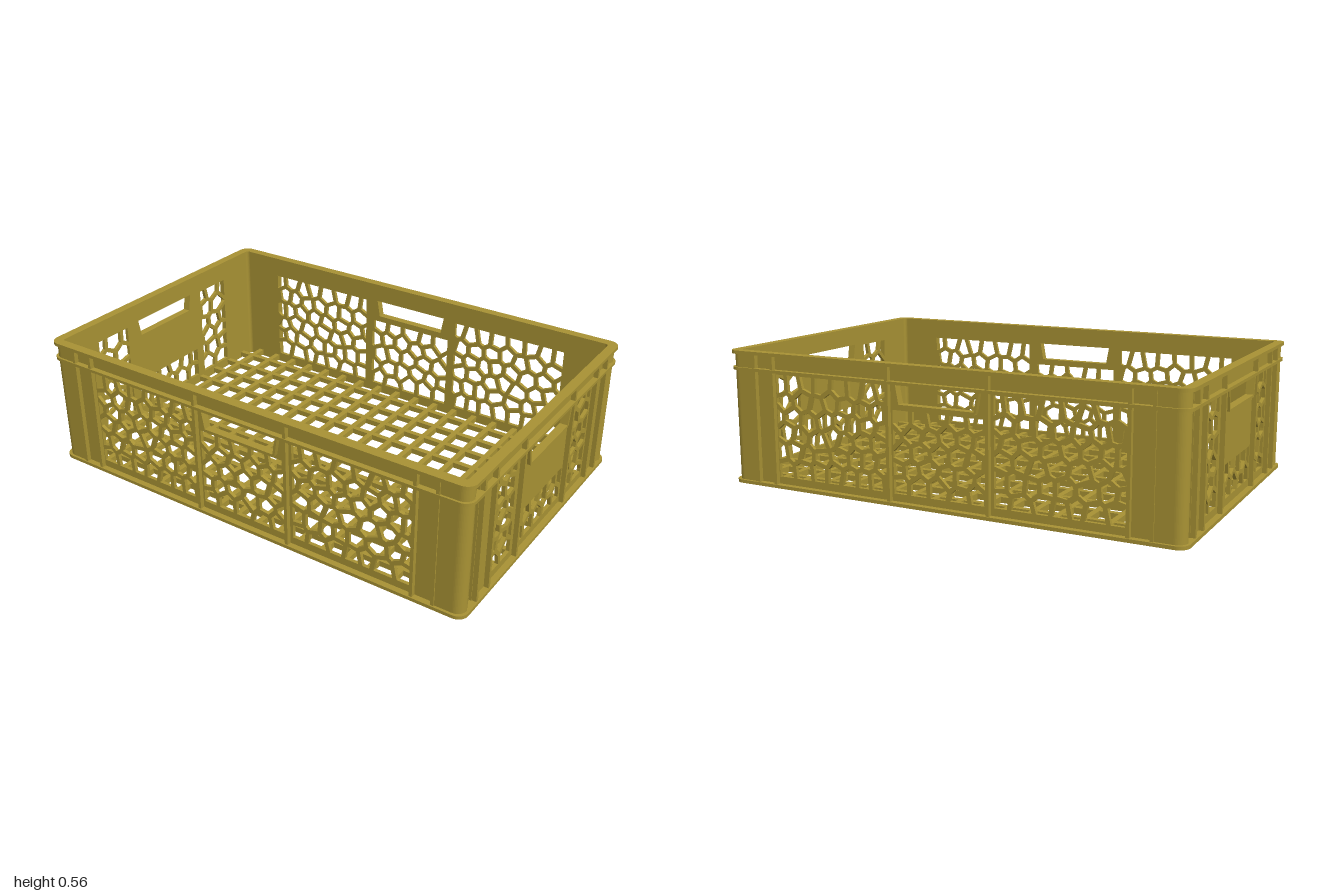
import * as THREE from 'three';

const HX = 1, HZ = 0.665, H = 0.565;   // outer half sizes and height
const RIM = 0.04, WALL = 0.015;        // rim width and wall thickness

function seeded(seed) {
  return () => (seed = (seed * 16807) % 2147483647) / 2147483647;
}

// Keep the part of a polygon where (p - m) . n >= 0
function clip(poly, m, n) {
  const out = [];
  poly.forEach((a, i) => {
    const b = poly[(i + 1) % poly.length];
    const da = a.clone().sub(m).dot(n), db = b.clone().sub(m).dot(n);
    if (da >= 0) out.push(a);
    if ((da >= 0) !== (db >= 0)) out.push(a.clone().lerp(b, da / (da - db)));
  });
  return out;
}

// Irregular honeycomb openings that fill a rectangle
function honeycomb(x0, x1, y0, y1, seed) {
  const rnd = seeded(seed), sites = [], cells = [];
  const cols = Math.round((x1 - x0) / 0.08), rows = Math.round((y1 - y0) / 0.072);
  const dx = (x1 - x0) / cols, dy = (y1 - y0) / rows;
  for (let r = 0; r < rows; r++) {
    for (let c = 0; c <= cols; c++) {
      const x = x0 + (c + (r % 2 ? 0 : 0.5)) * dx + (rnd() - 0.5) * 0.034;
      const y = y0 + (r + 0.5) * dy + (rnd() - 0.5) * 0.03;
      sites.push(new THREE.Vector2(x, y));
    }
  }
  for (const p of sites) {
    let poly = [[x0, y0], [x1, y0], [x1, y1], [x0, y1]].map(q => new THREE.Vector2(...q));
    for (const q of sites) {
      if (q === p || q.distanceTo(p) > 0.25) continue;
      const n = p.clone().sub(q).normalize();
      poly = clip(poly, p.clone().add(q).multiplyScalar(0.5).addScaledVector(n, 0.009), n);
    }
    if (poly.length > 2 && Math.abs(THREE.ShapeUtils.area(poly)) > 0.0004) cells.push(poly);
  }
  return cells;
}

function roundedRect(target, hx, hz, r) {
  target.absarc(hx - r, hz - r, r, 0, Math.PI / 2);
  target.absarc(r - hx, hz - r, r, Math.PI / 2, Math.PI);
  target.absarc(r - hx, r - hz, r, Math.PI, Math.PI * 1.5);
  target.absarc(hx - r, r - hz, r, Math.PI * 1.5, Math.PI * 2);
  target.closePath();
  return target;
}

export function createModel() {
  const crate = new THREE.Group();
  crate.name = 'crate';
  const plastic = new THREE.MeshStandardMaterial({ color: 0xa89234 });
  plastic.name = 'olive plastic';

  const add = (parent, name, geometry) => {
    const mesh = new THREE.Mesh(geometry, plastic);
    mesh.name = name;
    parent.add(mesh);
    return mesh;
  };
  const box = (parent, name, w, h, d, x, y, z) =>
    add(parent, name, new THREE.BoxGeometry(w, h, d)).position.set(x, y, z);
  const extrude = (shape, depth) =>
    new THREE.ExtrudeGeometry(shape, { depth, bevelEnabled: false, curveSegments: 6 });

  // Horizontal flanges that run around the whole crate
  const ring = (name, y, h, inset) => {
    const shape = roundedRect(new THREE.Shape(), HX - inset, HZ - inset, 0.045);
    shape.holes.push(roundedRect(new THREE.Path(), HX - RIM, HZ - RIM, 0.015));
    const mesh = add(crate, name, extrude(shape, h).rotateX(-Math.PI / 2));
    mesh.position.y = y;
  };
  ring('topRim', H - 0.014, 0.014, 0);
  ring('middleFlange', 0.483, 0.012, 0.002);
  ring('bottomRim', 0, 0.014, 0);

  // Solid corner posts
  for (const sx of [-1, 1]) for (const sz of [-1, 1]) {
    const ox = HX - 0.011, oz = HZ - 0.011, ix = HX - RIM, iz = HZ - RIM, r = 0.04;
    const s = new THREE.Shape();
    s.moveTo(ox, 0.545);
    s.absarc(ox - r, oz - r, r, 0, Math.PI / 2);
    s.lineTo(0.87, oz);
    s.lineTo(0.87, iz);
    s.absarc(ix - 0.015, iz - 0.015, 0.015, Math.PI / 2, 0, true);
    s.lineTo(ix, 0.545);
    s.closePath();
    // Mirror in plan by reflecting the outline
    const pts = s.getPoints(6).map(p => new THREE.Vector2(p.x * sx, p.y * sz));
    const post = add(crate, 'cornerPost', extrude(new THREE.Shape(pts), H - 0.016).rotateX(-Math.PI / 2));
    post.position.y = 0.006;
  }

  // One wall with its openings, ribs and handle, facing +z
  function wall(name, half, dist, ribs, panels, angle) {
    const g = new THREE.Group();
    g.name = name;
    const s = new THREE.Shape();
    s.moveTo(-half, 0.006).lineTo(half, 0.006).lineTo(half, H - 0.008).lineTo(-half, H - 0.008).closePath();
    const hole = pts => s.holes.push(new THREE.Path(pts));
    hole([[-0.165, 0.405], [0.165, 0.405], [0.18, 0.488], [-0.18, 0.488]].map(p => new THREE.Vector2(...p)));
    panels.forEach((p, i) => honeycomb(...p, 41 + i * 977).forEach(hole));
    const inner = dist - RIM;
    add(g, 'wallPanel', extrude(s, WALL)).position.z = inner;

    // Vertical ribs
    for (const x of ribs) for (const side of [-1, 1]) {
      box(g, 'rib', 0.014, H - 0.012, RIM - 0.007, side * x, H / 2, inner + 0.018);
    }
    // Lip around the hand hole
    box(g, 'handleLip', 0.34, 0.01, RIM - 0.006, 0, 0.402, inner + 0.017);
    for (const side of [-1, 1]) {
      const lip = add(g, 'handleLip', new THREE.BoxGeometry(0.01, 0.088, RIM - 0.006));
      lip.position.set(side * 0.177, 0.445, inner + 0.017);
      lip.rotation.z = -side * 0.18;
    }
    g.rotation.y = angle;
    crate.add(g);
  }

  const longPanels = [[-0.77, -0.24, 0.045, 0.475], [-0.205, 0.205, 0.045, 0.38], [0.24, 0.77, 0.045, 0.475]];
  const endPanels = [[-0.43, -0.25, 0.045, 0.475], [-0.205, 0.205, 0.045, 0.185], [0.25, 0.43, 0.045, 0.475]];
  wall('frontWall', 0.88, HZ, [0.22, 0.78, 0.87], longPanels, 0);
  wall('backWall', 0.88, HZ, [0.22, 0.78, 0.87], longPanels, Math.PI);
  wall('leftWall', 0.555, HX, [0.22, 0.45, 0.545], endPanels, Math.PI / 2);
  wall('rightWall', 0.555, HX, [0.22, 0.45, 0.545], endPanels, -Math.PI / 2);

  // Open floor grid
  const floor = new THREE.Group();
  floor.name = 'floorGrid';
  crate.add(floor);
  for (let i = 0; i < 18; i++) {
    box(floor, 'crossBar', 0.024, 0.026, 2 * (HZ - RIM) + 0.01, (i - 8.5) * 0.1047, 0.019, 0);
  }
  for (let i = -5; i <= 5; i++) {
    box(floor, 'longBar', 2 * (HX - RIM) + 0.01, 0.024, 0.024, 0, 0.019, i * 0.11);
  }
  return crate;
}
